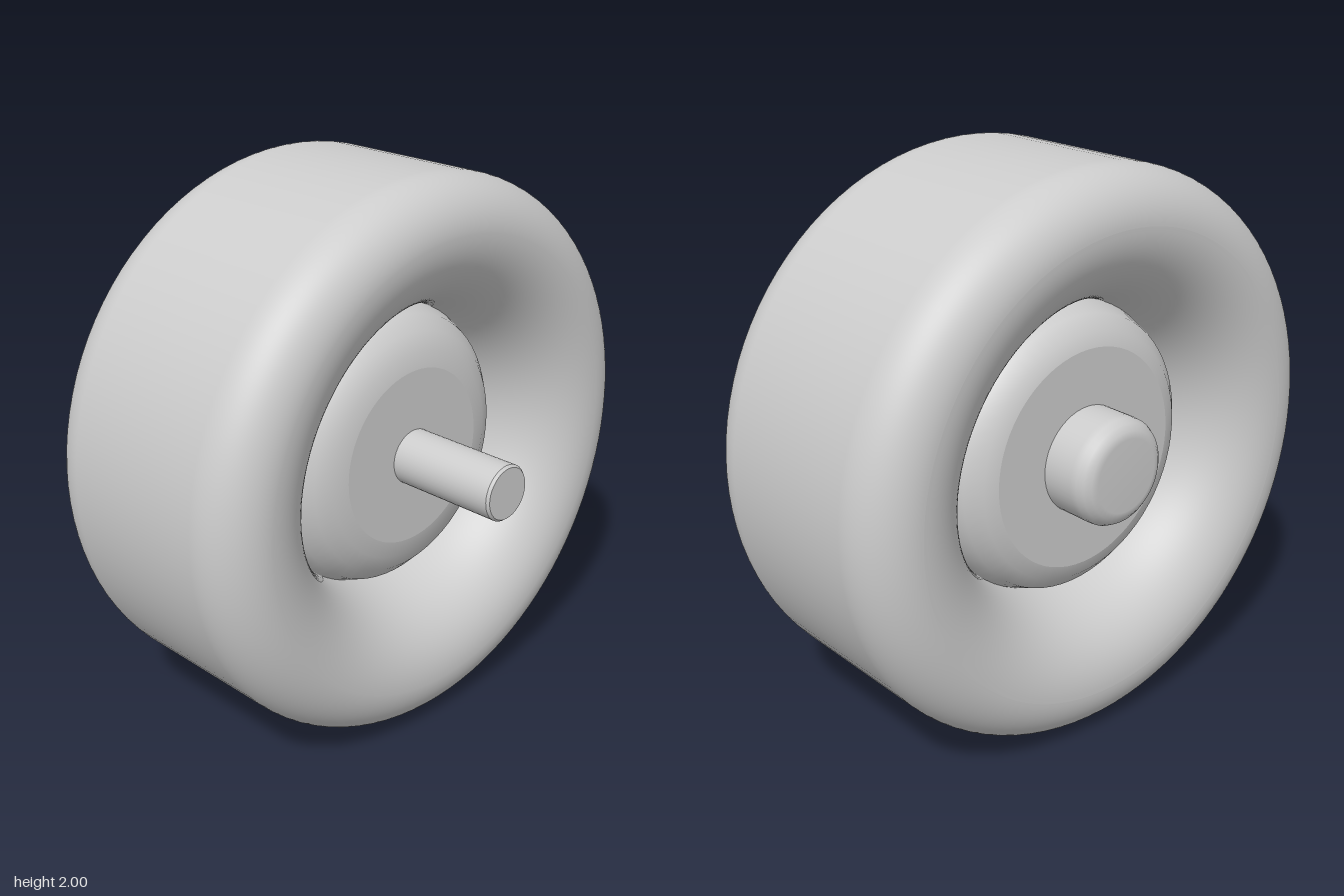
import * as THREE from 'three';

export function createModel() {
  const model = new THREE.Group();
  const grey = new THREE.MeshStandardMaterial({ color: 0xcccccc });
  grey.name = 'plain grey';

  // Turns a (radius, x) profile around the axle, which lies along x at y = 1.
  // Repeated points keep an edge sharp.
  const turn = (name, points, sides) => {
    const mesh = new THREE.Mesh(new THREE.LatheGeometry(points, sides), grey);
    mesh.name = name;
    mesh.rotation.z = -Math.PI / 2;
    mesh.position.y = 1;
    model.add(mesh);
    return mesh;
  };
  const pts = (list) => list.map(([r, x]) => new THREE.Vector2(r, x));

  // Tyre: flat tread, round shoulders and side walls curving into the throat
  const q = Math.PI / 2;
  const section = new THREE.Path();
  section.moveTo(1, 0);
  section.lineTo(1, 0.29);
  section.absellipse(0.82, 0.29, 0.18, 0.18, 0, q);
  section.absellipse(0.82, 0.1, 0.305, 0.37, q, 2 * q);
  section.lineTo(0.515, -0.1);
  section.absellipse(0.82, -0.1, 0.305, 0.37, 2 * q, 3 * q);
  section.absellipse(0.82, -0.29, 0.18, 0.18, 3 * q, 4 * q);
  section.lineTo(1, 0);
  const tyre = turn('tyre', section.getPoints(14), 96);
  tyre.position.x = -0.11;

  // Hub: solid disc with rounded rims, flatter on the cap side
  turn('hub', pts([
    [0, -0.42], [0.39, -0.42], [0.39, -0.42], [0.44, -0.405], [0.49, -0.36], [0.52, -0.28],
    [0.53, -0.12], [0.52, 0.02], [0.49, 0.09], [0.44, 0.14], [0.38, 0.17], [0.32, 0.18],
    [0.32, 0.18], [0, 0.18],
  ]), 64);

  // Hub cap: short button with a rounded edge
  turn('hubCap', pts([
    [0, -0.61], [0.13, -0.61], [0.155, -0.604], [0.176, -0.587], [0.188, -0.565],
    [0.19, -0.54], [0.19, -0.4],
  ]), 48);

  // Axle: plain rod with a tiny bevel at its end
  turn('axle', pts([
    [0.1, 0.1], [0.1, 0.592], [0.1, 0.592], [0.092, 0.602], [0.092, 0.602], [0, 0.602],
  ]), 40);

  return model;
}
